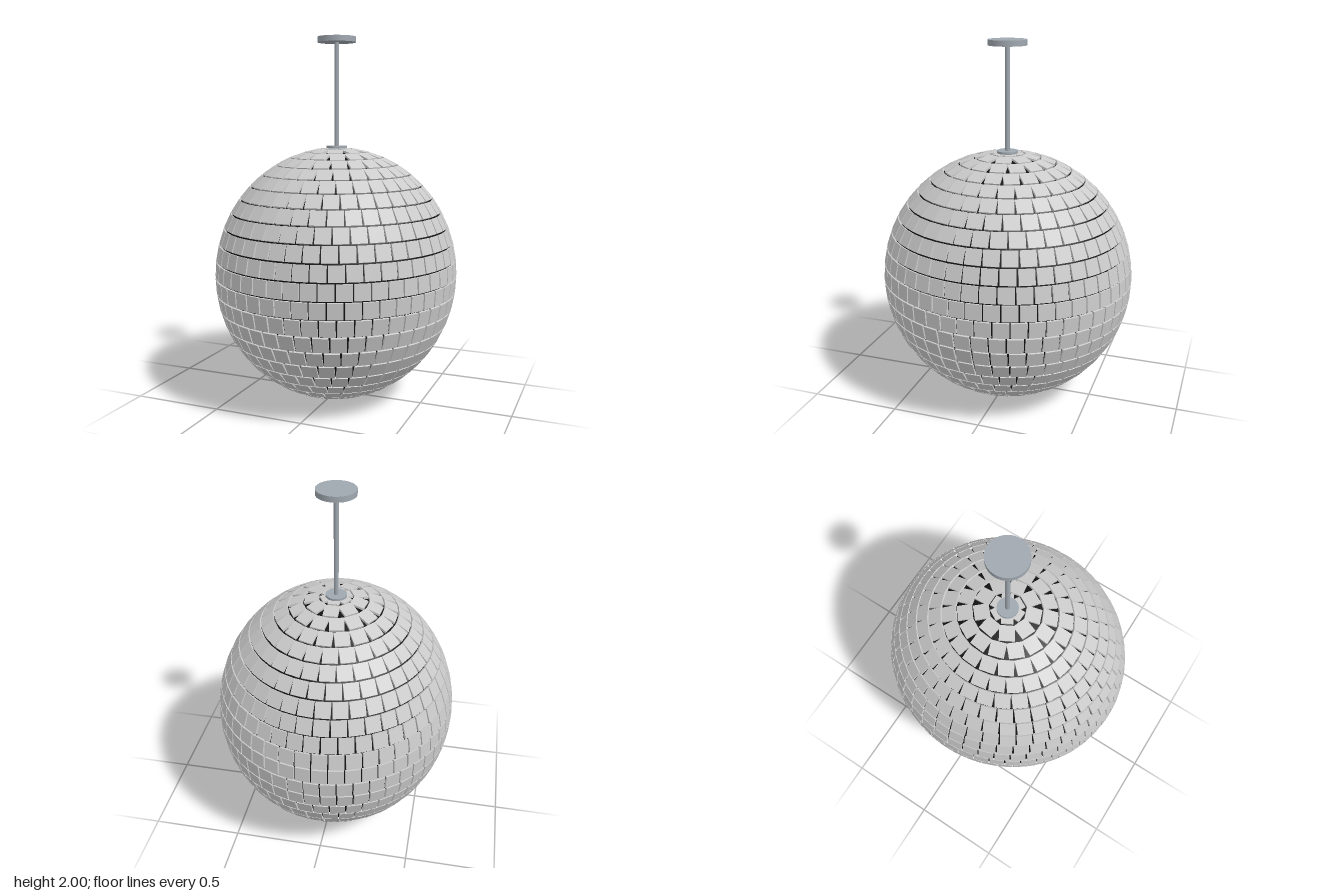
import * as THREE from 'three';
import { mergeGeometries } from 'three/addons/utils/BufferGeometryUtils.js';

const R = 0.7;          // outer radius of the mirror tiles
const ROWS = 24;        // tile rows from pole to pole
const AROUND = 48;      // tiles around the equator
const CENTRE_Y = 0.702;

const grey = new THREE.MeshStandardMaterial({ color: 0xcccccc });
const dark = new THREE.MeshStandardMaterial({ color: 0x111111 });
const metal = new THREE.MeshStandardMaterial({ color: 0xa0a8b0 });

// Flat rectangular tiles in rows; wedge gaps open up toward the equator side
function tileGeometry() {
  const depth = 0.02;
  const tiles = [];
  for (let row = 0; row < ROWS; row++) {
    const polar = ((row + 0.5) / ROWS) * Math.PI;
    const count = Math.max(6, Math.round(AROUND * Math.sin(polar)));
    const atPole = row === 0 || row === ROWS - 1;
    const offset = row % 2 ? 0.5 : 0;
    for (let i = 0; i < count; i++) {
      const tile = new THREE.BoxGeometry(atPole ? 0.065 : 0.083, 0.083, depth);
      tile.translate(0, 0, R - depth / 2);
      tile.rotateX(polar - Math.PI / 2);
      tile.rotateY(((i + offset) / count) * Math.PI * 2);
      tiles.push(tile);
    }
  }
  return mergeGeometries(tiles);
}

export function createModel() {
  const model = new THREE.Group();
  model.name = 'mirrorBall';

  const add = (parent, name, geometry, material, y = 0) => {
    const mesh = new THREE.Mesh(geometry, material);
    mesh.name = name;
    mesh.position.y = y;
    parent.add(mesh);
  };

  // Ball: dark core under the tiles, slightly narrower in x
  const ball = new THREE.Group();
  ball.name = 'ball';
  ball.position.y = CENTRE_Y;
  ball.scale.x = 0.95;
  add(ball, 'core', new THREE.SphereGeometry(0.69, 64, 48), dark);
  add(ball, 'mirrorTiles', tileGeometry(), grey);
  model.add(ball);

  // Hanging hardware
  add(model, 'collar', new THREE.CylinderGeometry(0.057, 0.057, 0.02, 32), metal, 1.402);
  add(model, 'rod', new THREE.CylinderGeometry(0.013, 0.013, 0.6, 16), metal, 1.69);
  add(model, 'ceilingPlate', new THREE.CylinderGeometry(0.104, 0.104, 0.03, 48), metal, 1.985);

  return model;
}
